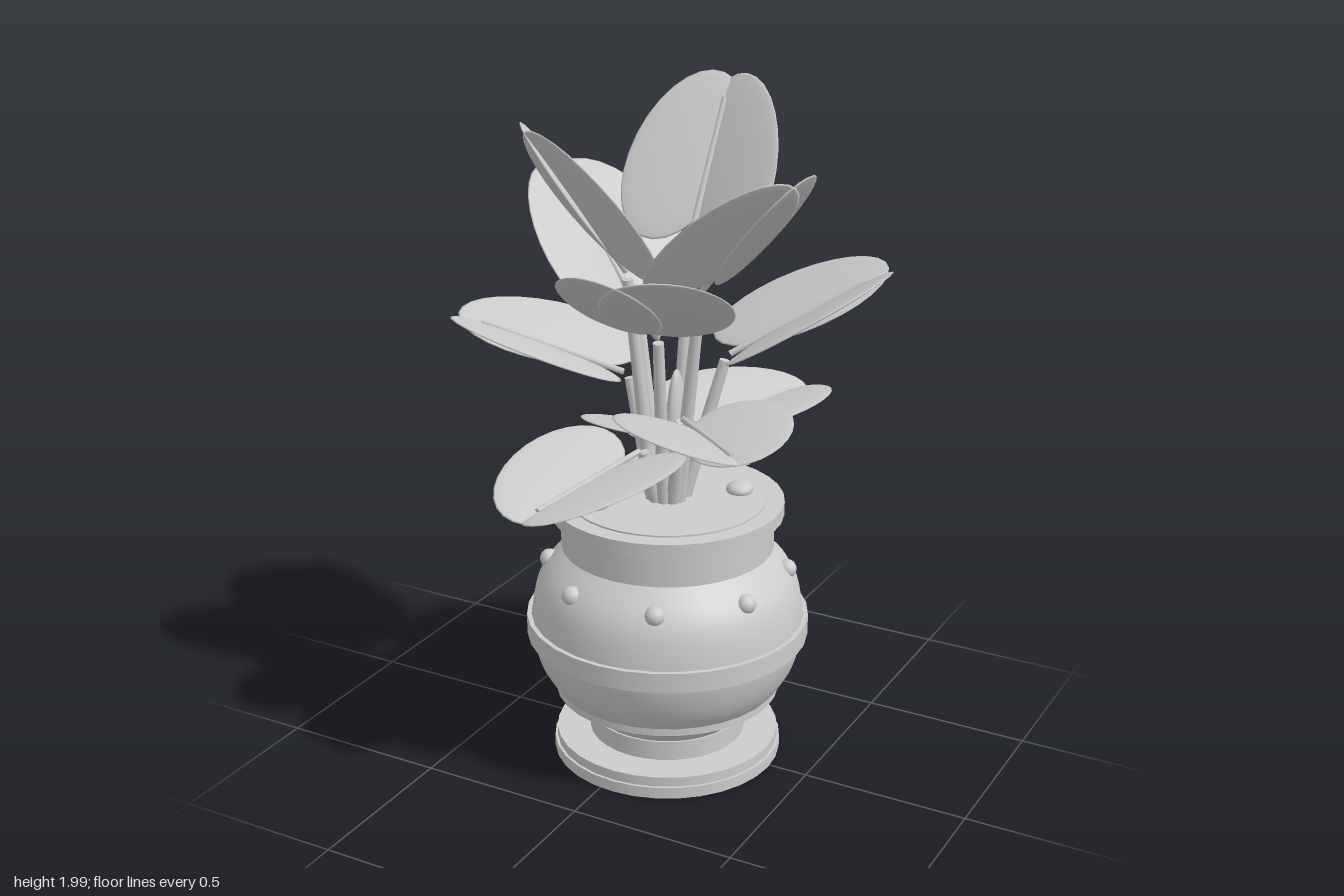
import * as THREE from 'three';
import { toCreasedNormals } from 'three/addons/utils/BufferGeometryUtils.js';

const CX = 0.04, CZ = 0.013; // pot axis
const material = new THREE.MeshStandardMaterial({ color: 0xcccccc });
const V = (x, y, z) => new THREE.Vector3(x, y, z);

function add(parent, name, geometry, x = 0, y = 0, z = 0) {
  const mesh = new THREE.Mesh(geometry, material);
  mesh.name = name;
  mesh.position.set(x, y, z);
  parent.add(mesh);
  return mesh;
}

// Upright disc or band between two heights
function disc(parent, name, radius, y0, y1) {
  return add(parent, name, new THREE.CylinderGeometry(radius, radius, y1 - y0, 32), 0, (y0 + y1) / 2, 0);
}

// Round bar between two points
function bar(parent, name, a, b, rA, rB, sides = 8) {
  const dir = b.clone().sub(a);
  const mesh = add(parent, name, new THREE.CylinderGeometry(rB, rA, dir.length(), sides));
  mesh.position.copy(a).lerp(b, 0.5);
  mesh.quaternion.setFromUnitVectors(V(0, 1, 0), dir.normalize());
  return mesh;
}

function buildPot() {
  const pot = new THREE.Group();
  pot.name = 'pot';
  disc(pot, 'basePlate', 0.342, 0, 0.035);
  disc(pot, 'basePlateTop', 0.334, 0.035, 0.065);
  disc(pot, 'pedestal', 0.234, 0.065, 0.125);

  // Rounded belly
  const curve = new THREE.SplineCurve([
    [0.222, 0.12], [0.313, 0.2], [0.372, 0.28], [0.402, 0.37], [0.406, 0.44],
    [0.388, 0.54], [0.352, 0.605], [0.288, 0.67],
  ].map(([r, y]) => new THREE.Vector2(r, y)));
  const profile = [new THREE.Vector2(0, 0.12), ...curve.getPoints(24), new THREE.Vector2(0, 0.67)];
  add(pot, 'belly', toCreasedNormals(new THREE.LatheGeometry(profile, 32), 0.6));

  disc(pot, 'lowerBand', 0.335, 0.203, 0.23);
  disc(pot, 'middleBand', 0.419, 0.387, 0.448);
  disc(pot, 'neck', 0.313, 0.665, 0.77);
  disc(pot, 'rim', 0.342, 0.767, 0.808);
  disc(pot, 'soil', 0.29, 0.79, 0.813);

  // Studs around the shoulder
  for (let i = 0; i < 8; i++) {
    const a = (i + 0.5) * Math.PI / 4;
    add(pot, 'stud', new THREE.SphereGeometry(0.029, 14, 10), 0.353 * Math.cos(a), 0.595, 0.353 * Math.sin(a));
  }
  // Pebbles on the soil
  for (const [x, z] of [[0.17, -0.13], [-0.147, 0.17]]) {
    add(pot, 'pebble', new THREE.SphereGeometry(0.04, 14, 10), x, 0.82, z).scale.y = 0.6;
  }
  pot.position.set(CX, 0, CZ);
  return pot;
}

// Leaf of two overlapping flattened lobes folded along a midrib
function buildLeaf(base, tip) {
  const leaf = new THREE.Group();
  leaf.name = 'leaf';
  const d = tip.clone().sub(base);
  const length = d.length();
  d.normalize();
  const side = V(0, 1, 0).cross(d).normalize();
  const normal = d.clone().cross(side);
  leaf.quaternion.setFromRotationMatrix(new THREE.Matrix4().makeBasis(side, normal, d));
  leaf.position.copy(base).lerp(tip, 0.5);

  const fold = 0.25, toe = 0.24, offset = 0.085;
  for (const s of [-1, 1]) {
    const lobe = add(leaf, 'leafLobe', new THREE.SphereGeometry(1, 28, 14),
      s * offset * Math.cos(fold), offset * Math.sin(fold), 0);
    lobe.scale.set(0.152, 0.011, 0.51 * length);
    lobe.rotation.set(0, -s * toe, s * fold, 'ZYX');
  }
  bar(leaf, 'midrib', V(0, 0.01, -0.46 * length), V(0, 0.01, 0.35 * length), 0.01, 0.008, 6);
  return leaf;
}

export function createModel() {
  const model = new THREE.Group();
  model.name = 'pottedPlant';
  model.add(buildPot());

  // Base and tip of each leaf, from the lowest tier to the top
  const leaves = [
    [[0.0, 0.94, -0.1], [-0.305, 0.835, -0.435]],
    [[0.01, 0.975, 0.1], [-0.1, 0.915, 0.605]],
    [[0.055, 0.98, -0.09], [0.205, 0.99, -0.605]],
    [[0.13, 1.09, 0.1], [0.5, 1.155, 0.47]],
    [[-0.075, 1.165, 0.03], [-0.585, 1.31, 0.16]],
    [[0.175, 1.225, -0.08], [0.565, 1.475, -0.35]],
    [[0.07, 1.32, 0.125], [0.195, 1.62, 0.585]],
    [[-0.09, 1.335, -0.05], [-0.465, 1.695, -0.225]],
    [[0.165, 1.445, 0.06], [0.505, 1.835, 0.185]],
    [[-0.035, 1.485, 0.11], [-0.225, 1.93, 0.34]],
    [[0.04, 1.53, -0.12], [0.04, 1.985, -0.375]],
  ];
  for (const [b, t] of leaves) {
    const base = V(...b), tip = V(...t);
    const out = V(tip.x - base.x, 0, tip.z - base.z).normalize();
    const root = V(CX + out.x * 0.045, 0.8, CZ + out.z * 0.045);
    bar(model, 'stem', root, base, 0.022, 0.016, 10);
    model.add(buildLeaf(base, tip));
  }

  // Young shoot in the middle
  const shoot = add(model, 'youngShoot', new THREE.SphereGeometry(1, 14, 12), 0.055, 1.0, -0.01);
  shoot.scale.set(0.025, 0.2, 0.045);
  return model;
}
